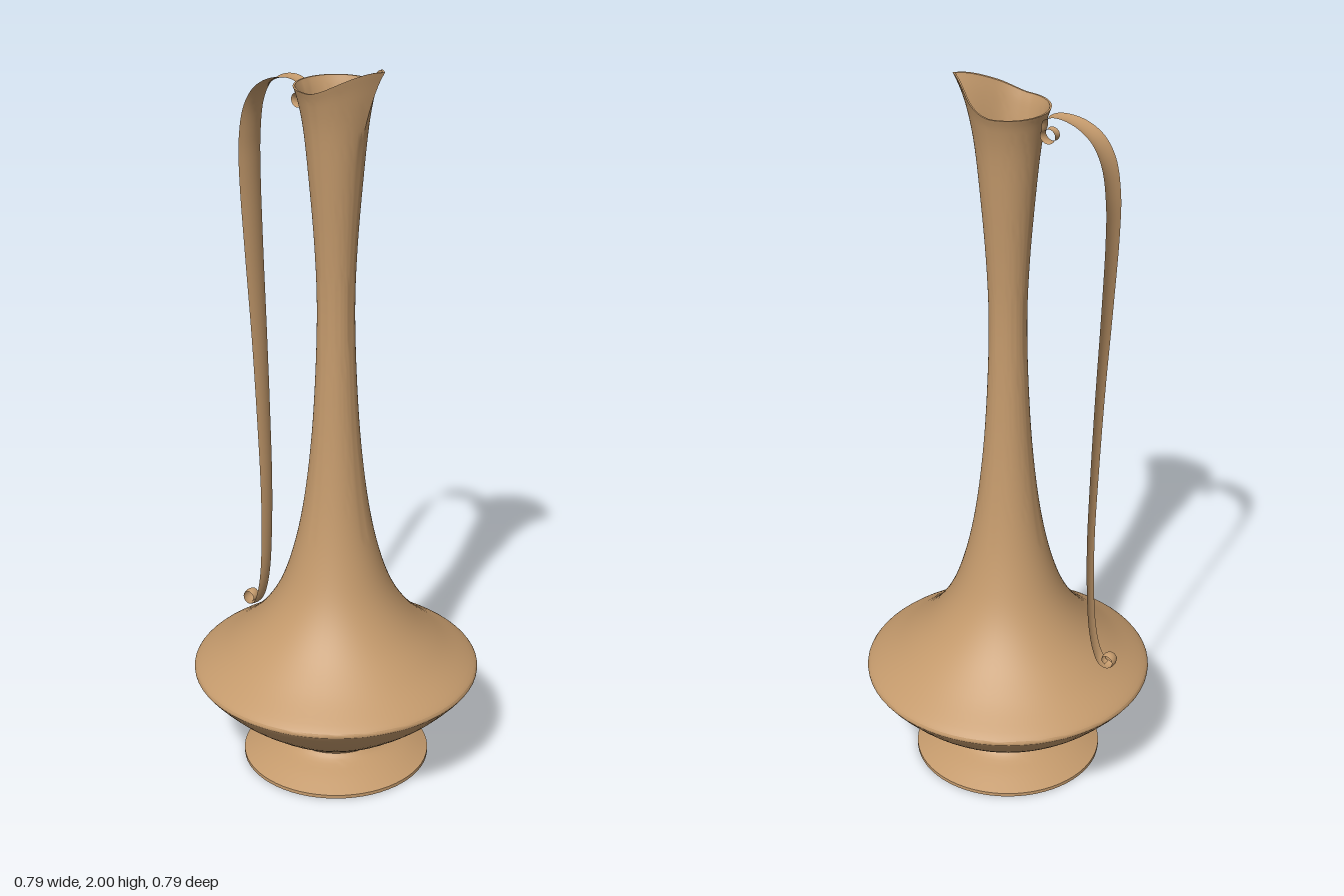
import * as THREE from 'three';
import { toCreasedNormals } from 'three/addons/utils/BufferGeometryUtils.js';

const clay = new THREE.MeshStandardMaterial({ color: 0xc49a6c, side: THREE.DoubleSide });
clay.name = 'clay';

// Smooth profile through a few [radius, height] points
function smooth(points, n) {
  return new THREE.SplineCurve(points.map(([r, y]) => new THREE.Vector2(r, y))).getPoints(n);
}

// Pulls the rim out to a pointed, raised pouring lip on +x
function shapeSpout(geometry) {
  const pos = geometry.attributes.position;
  const tangentAngle = 0.8;
  for (let i = 0; i < pos.count; i++) {
    const x = pos.getX(i), y = pos.getY(i), z = pos.getZ(i);
    const t = Math.min(1, Math.max(0, (y - 1.72) / 0.22));
    if (t === 0) continue;
    const phi = Math.abs(Math.atan2(z, x));
    const stretch = phi < tangentAngle ? 1 / Math.cos(phi - tangentAngle) : 1;
    const k = 1 + (stretch - 1) * t * t;
    const lift = 0.06 * THREE.MathUtils.smoothstep(x * k, -0.01, 0.15) * t * t;
    pos.setXYZ(i, x * k, y + lift, z * k);
  }
  return geometry;
}

function createBody() {
  const foot = smooth([[0.26, 0.01], [0.21, 0.034], [0.16, 0.055], [0.142, 0.07]], 10);
  const bowl = smooth([[0.142, 0.07], [0.17, 0.093], [0.24, 0.138], [0.32, 0.2], [0.375, 0.255], [0.395, 0.28]], 18);
  const neck = smooth([
    [0.395, 0.28], [0.385, 0.296], [0.3, 0.355], [0.22, 0.43], [0.16, 0.52], [0.12, 0.63], [0.09, 0.77],
    [0.068, 0.95], [0.055, 1.15], [0.05, 1.35], [0.056, 1.52], [0.07, 1.7], [0.083, 1.83], [0.097, 1.905], [0.108, 1.94],
  ], 70);
  // Inner wall follows the outside back down to the floor
  const inside = [...bowl.slice(4), ...neck.slice(1)].reverse()
    .map((p) => new THREE.Vector2(p.x - 0.005, p.y));
  const profile = [
    new THREE.Vector2(0, 0), new THREE.Vector2(0.26, 0),
    ...foot, ...bowl.slice(1), ...neck.slice(1), ...inside, new THREE.Vector2(0, 0.1),
  ];
  const geometry = shapeSpout(new THREE.LatheGeometry(profile, 64));
  const mesh = new THREE.Mesh(toCreasedNormals(geometry, 0.6), clay);
  mesh.name = 'jugBody';
  return mesh;
}

// Points of a small curl; z holds the ribbon half-width
function curl(cx, cy, from, to, r0, r1, w0, w1, n = 12) {
  return Array.from({ length: n + 1 }, (_, i) => {
    const t = i / n, a = THREE.MathUtils.lerp(from, to, t), r = THREE.MathUtils.lerp(r0, r1, t);
    return new THREE.Vector3(cx + r * Math.cos(a), cy + r * Math.sin(a), THREE.MathUtils.lerp(w0, w1, t));
  });
}

function createHandle() {
  const stem = [
    [-0.106, 1.922, 0.018], [-0.125, 1.934, 0.02], [-0.16, 1.936, 0.024], [-0.205, 1.923, 0.03], [-0.245, 1.893, 0.035],
    [-0.273, 1.84, 0.04], [-0.287, 1.75, 0.043], [-0.288, 1.65, 0.042], [-0.279, 1.45, 0.037], [-0.265, 1.2, 0.031],
    [-0.254, 0.95, 0.027], [-0.248, 0.75, 0.024], [-0.25, 0.6, 0.022], [-0.258, 0.48, 0.021], [-0.272, 0.41, 0.02], [-0.287, 0.377, 0.02],
  ].map((p) => new THREE.Vector3(...p));
  const path = new THREE.CatmullRomCurve3([
    ...curl(-0.118, 1.885, -5.6, 0.7, 0.016, 0.02, 0.01, 0.017),
    ...stem,
    ...curl(-0.312, 0.385, -1.2, -7.4, 0.021, 0.016, 0.019, 0.01),
  ]);
  const rows = 260, cols = 6;
  const geometry = new THREE.PlaneGeometry(1, 1, cols, rows);
  const pos = geometry.attributes.position;
  for (let j = 0; j <= rows; j++) {
    const p = path.getPoint(j / rows), t = path.getTangent(j / rows);
    const len = Math.hypot(t.x, t.y) || 1;
    for (let i = 0; i <= cols; i++) {
      // Shallow channel: the edges bow outward from the centre line
      const s = (i / cols) * 2 - 1, bow = 0.22 * p.z * (s * s - 0.5);
      pos.setXYZ(j * (cols + 1) + i, p.x + (t.y / len) * bow, p.y - (t.x / len) * bow, s * p.z);
    }
  }
  geometry.computeVertexNormals();
  const mesh = new THREE.Mesh(geometry, clay);
  mesh.name = 'ribbonHandle';
  return mesh;
}

export function createModel() {
  const group = new THREE.Group();
  group.name = 'jug';
  group.add(createBody(), createHandle());
  return group;
}
